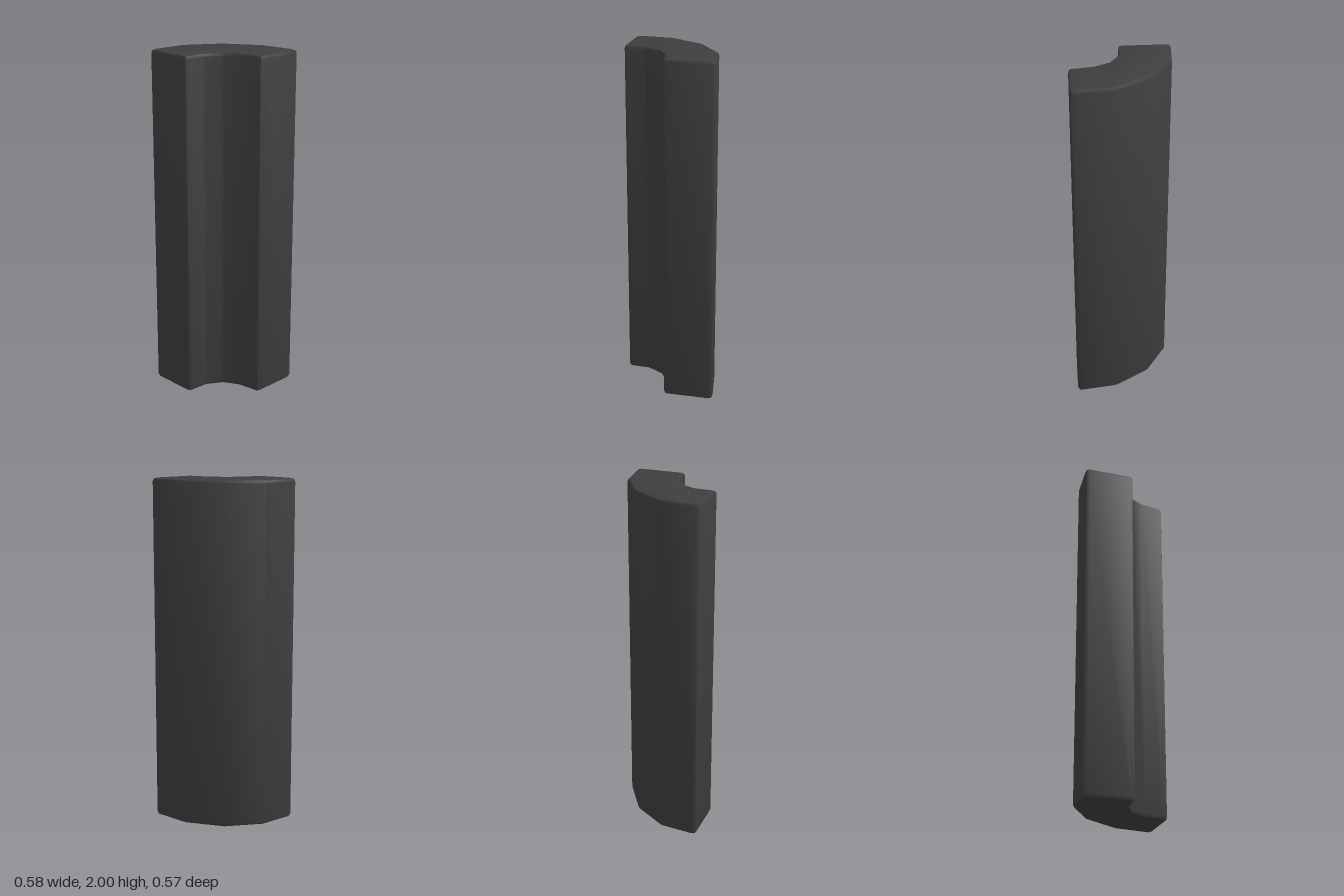
import * as THREE from 'three';
import { toCreasedNormals } from 'three/addons/utils/BufferGeometryUtils.js';

export function createModel() {
  const group = new THREE.Group();
  group.name = 'curvedColumn';

  // Quarter-ring footprint as [x, z], with softly rounded end corners
  const footprint = [
    [-0.284, -0.281], [-0.265, -0.287], // outer arc
    [-0.067, -0.272], [0.129, -0.15], [0.257, 0.05],
    [0.288, 0.26], [0.283, 0.278], [0.264, 0.285], // front end
    [0.02, 0.285], [0.002, 0.278], [-0.003, 0.258],
    [-0.02, 0.15], [-0.07, 0.062], [-0.16, 0.01], // inner arc
    [-0.264, 0.005], [-0.282, -0.001], [-0.288, -0.02], // side end
    [-0.29, -0.262],
  ];
  const shape = new THREE.Shape(footprint.map(([x, z]) => new THREE.Vector2(x, z)));

  // Upright extrusion with rounded top and bottom rims
  const height = 2, bevel = 0.02;
  const geometry = new THREE.ExtrudeGeometry(shape, {
    depth: height - 2 * bevel,
    bevelThickness: bevel,
    bevelSize: bevel,
    bevelOffset: -bevel,
    bevelSegments: 2,
  });
  geometry.rotateX(Math.PI / 2);
  geometry.translate(0, height - bevel, 0);

  const column = new THREE.Mesh(
    toCreasedNormals(geometry, 0.6),
    new THREE.MeshStandardMaterial({ color: 0x3e3e3e })
  );
  column.name = 'columnBody';
  group.add(column);
  return group;
}
